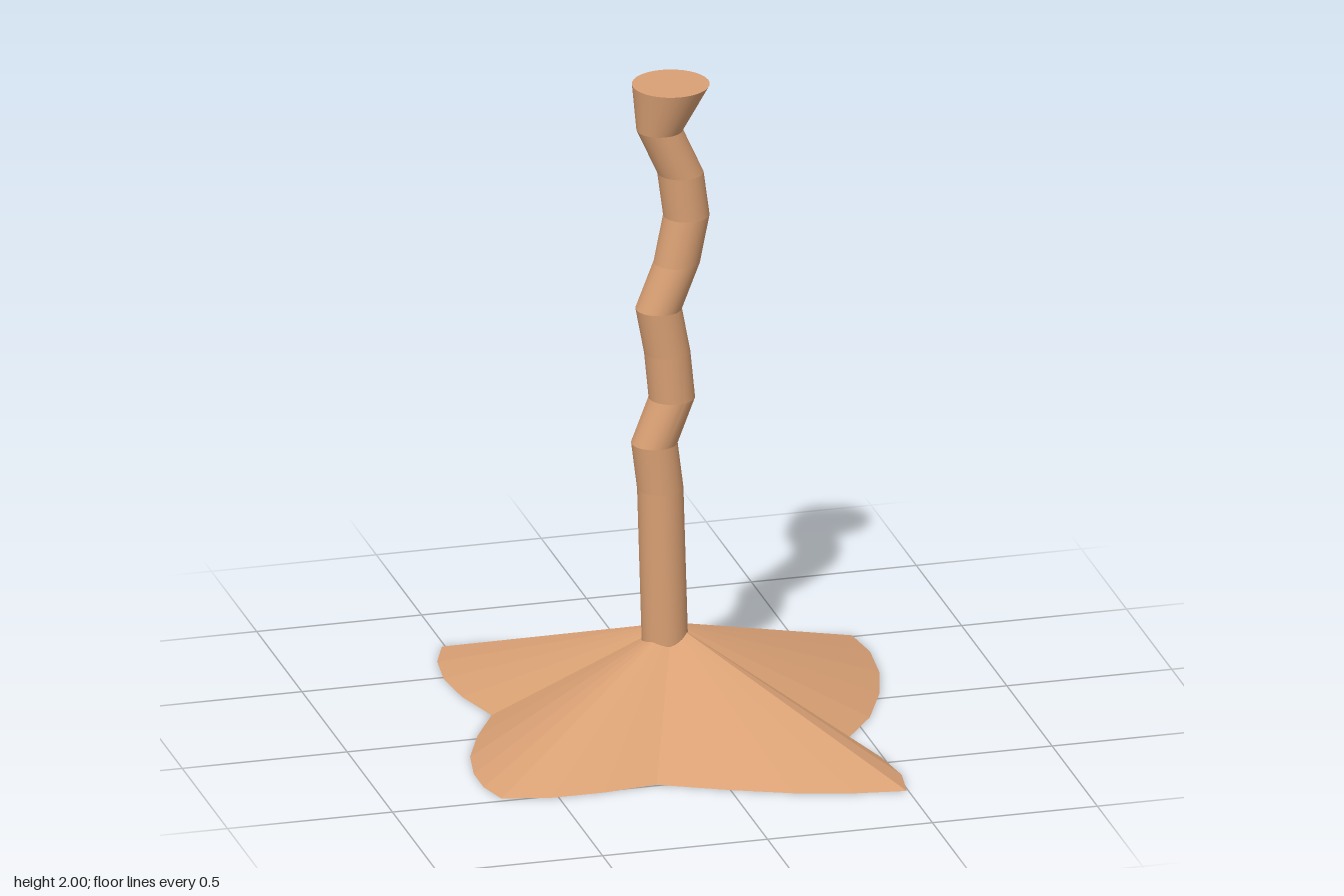
import * as THREE from 'three';
import { toCreasedNormals } from 'three/addons/utils/BufferGeometryUtils.js';

const SIDES = 32;
const Z = 0.008; // depth of the stem axis

// Tube section between two level rings [x, y, radius], sheared to join them
function section(a, b, open) {
  const height = b[1] - a[1];
  const geo = new THREE.CylinderGeometry(b[2], a[2], height, SIDES, 1, open);
  const pos = geo.attributes.position;
  for (let i = 0; i < pos.count; i++) {
    const t = pos.getY(i) / height + 0.5;
    pos.setXYZ(i, pos.getX(i) + a[0] + (b[0] - a[0]) * t, a[1] + height * t, pos.getZ(i) + Z);
  }
  return toCreasedNormals(geo, 0.3);
}

// Closed cone from a wavy ground outline [x, z] to an apex
function foldedCone(outline, apex) {
  const v = [];
  outline.forEach(([x, z], i) => {
    const [x2, z2] = outline[(i + 1) % outline.length];
    v.push(...apex, x2, 0, z2, x, 0, z); // slope
    v.push(0, 0, 0, x, 0, z, x2, 0, z2); // underside
  });
  const geo = new THREE.BufferGeometry();
  geo.setAttribute('position', new THREE.Float32BufferAttribute(v, 3));
  geo.computeVertexNormals();
  return geo;
}

export function createModel() {
  const model = new THREE.Group();
  model.name = 'crookedStand';
  const tan = new THREE.MeshStandardMaterial({ color: 0xd9a074 });
  const add = (parent, name, geo) => {
    const mesh = new THREE.Mesh(geo, tan);
    mesh.name = name;
    parent.add(mesh);
  };

  // Four-pointed spreading base
  const outline = [
    [-0.51, -0.74], [-0.38, -0.725], [-0.22, -0.67], [-0.055, -0.58],
    [0.11, -0.478], [0.27, -0.525], [0.415, -0.55], [0.555, -0.543],
    [0.67, -0.51], [0.687, -0.37], [0.67, -0.207], [0.625, -0.04], [0.547, 0.137],
    [0.432, 0.295], [0.495, 0.458], [0.515, 0.607],
    [0.495, 0.735], [0.342, 0.713], [0.17, 0.665], [-0.005, 0.59],
    [-0.198, 0.493], [-0.36, 0.513], [-0.52, 0.513],
    [-0.664, 0.48], [-0.69, 0.38], [-0.69, 0.27], [-0.664, 0.133], [-0.6, -0.02],
    [-0.515, -0.172], [-0.56, -0.337], [-0.573, -0.49], [-0.555, -0.627],
  ];
  add(model, 'base', foldedCone(outline, [-0.015, 0.305, 0]));

  // Crooked stem: centre x and height of each bend
  const stem = new THREE.Group();
  stem.name = 'stem';
  model.add(stem);
  const bends = [
    [-0.036, 0.15], [-0.053, 0.735], [-0.071, 0.88], [-0.018, 1.017], [-0.032, 1.16],
    [-0.058, 1.3], [-0.003, 1.44], [0.026, 1.585], [0.008, 1.72], [-0.055, 1.86],
  ].map(([x, y]) => [x, y, 0.068]);
  for (let i = 1; i < bends.length; i++) {
    add(stem, 'stemSection' + i, section(bends[i - 1], bends[i], true));
  }

  // Flared top
  add(model, 'flaredTop', section(bends[bends.length - 1], [-0.021, 2, 0.114], false));
  return model;
}
